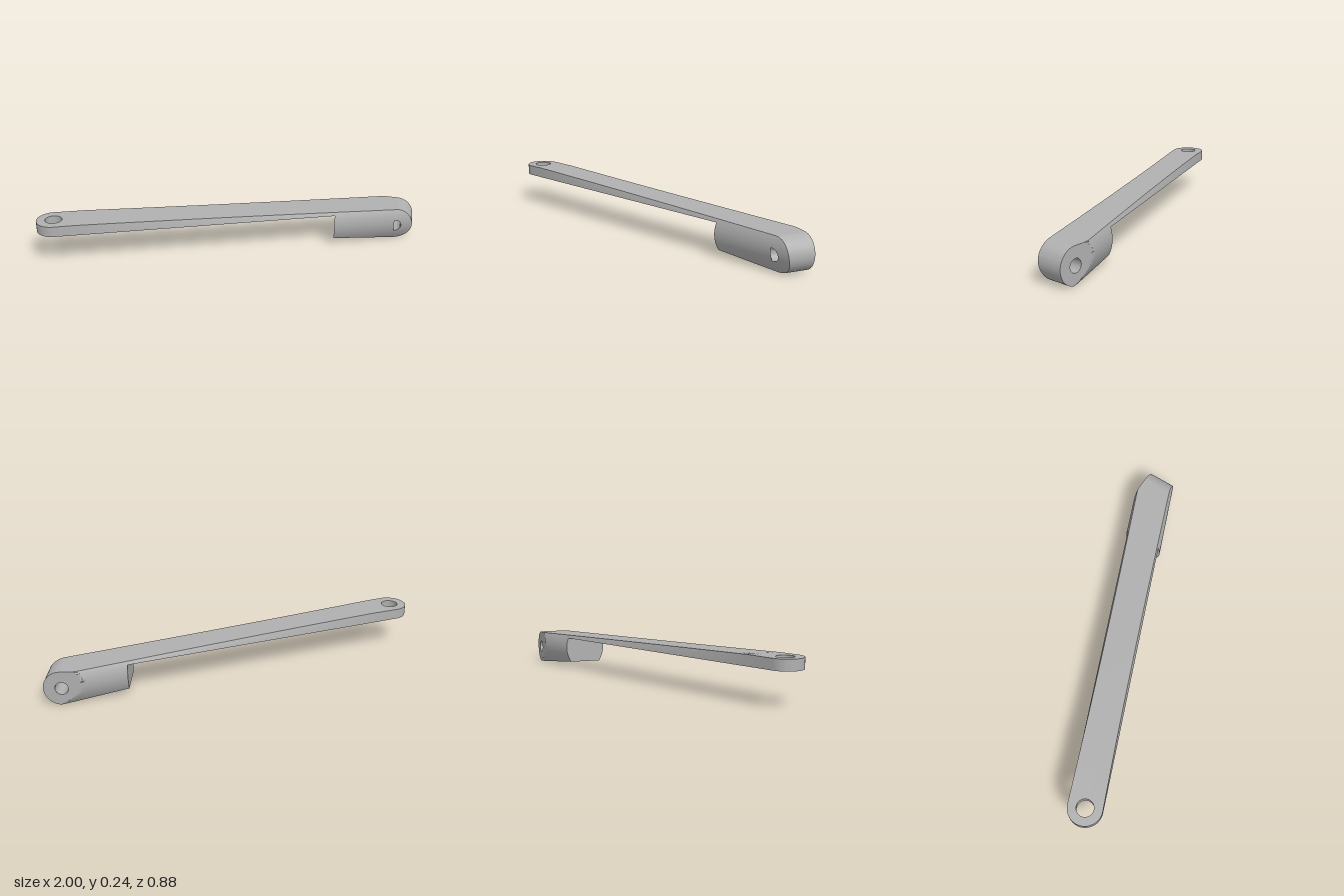
import * as THREE from 'three';
import { toCreasedNormals } from 'three/addons/utils/BufferGeometryUtils.js';

const C = 0.93, S = 0.368;            // arm heading in plan
const EYE = { x: -0.907, z: 0.347, r: 0.093, hole: 0.046 };
const HUB = { x: 0.904, y: 0.096, r: 0.096, hole: 0.035 };
const BOSS_X = 0.57, BACK_Z = -0.44, UNDERSIDE = 0.183;
const lerp = THREE.MathUtils.lerp;

// Height of the gently falling top surface
const topY = (x) => 0.241 - 0.0291 * Math.max(0, Math.min(x, HUB.x) + 0.78);
// Half width across the arm: straight sides at the eye, barrel sides at the boss
const halfWidth = (t, y) => lerp(EYE.r, 0.1075 - 3 * (y - 0.125) ** 2, t);

// Closed skin through a cycle of rings that all have the same number of points
function ringSkin(rings) {
  const n = rings[0].length, m = rings.length, index = [];
  for (let i = 0; i < m; i++) {
    for (let j = 0; j < n; j++) {
      const k = (j + 1) % n, p = i * n, q = ((i + 1) % m) * n;
      index.push(p + j, q + j, p + k, q + j, q + k, p + k);
    }
  }
  const geo = new THREE.BufferGeometry();
  geo.setAttribute('position', new THREE.Float32BufferAttribute(rings.flat(2), 3));
  geo.setIndex(index);
  return toCreasedNormals(geo, 0.5);
}

// Points from a towards b, leaving out b
function span(a, b, steps) {
  return Array.from({ length: steps }, (_, i) => a.map((v, k) => lerp(v, b[k], i / steps)));
}

// Long flat arm with a vertical hole through its rounded end
function armGeometry() {
  const endU = (v) => (0.575 - EYE.x - v * S) / C;
  const r = EYE.r, H = Math.PI / 2, A = 0.35;
  // each entry: u along, v across, angle of the matching point on the hole
  const outline = [...span([endU(-r), -r, A], [0, -r, H], 28)];
  for (let i = 0; i < 28; i++) {
    const a = H + (Math.PI * i) / 28;
    outline.push([r * Math.cos(a), -r * Math.sin(a), a]);
  }
  outline.push(...span([0, r, 3 * H], [endU(r), r, 4 * H - A], 28));
  outline.push(...span([endU(r), r, 4 * H - A], [endU(-r), -r, 4 * H + A], 8));

  // s runs from hole to rim, f from underside to top
  const ring = (s, f) => outline.map(([u, v, a]) => {
    const pu = lerp(EYE.hole * Math.cos(a), u, s);
    const pv = lerp(-EYE.hole * Math.sin(a), v, s);
    const t = THREE.MathUtils.clamp(pu / endU(0), 0, 1);
    const y = lerp(UNDERSIDE, topY(EYE.x + pu * C + pv * S), f);
    const w = (pv * halfWidth(t, y)) / r;
    return [EYE.x + pu * C + w * S, y, EYE.z - pu * S + w * C];
  });
  const rings = [ring(0, 0)];
  for (let i = 0; i <= 12; i++) rings.push(ring(i / 12, 1));
  for (let i = 3; i >= 0; i--) rings.push(ring(1, i / 4));
  for (let i = 11; i > 0; i--) rings.push(ring(i / 12, 0));
  return ringSkin(rings);
}

// Deep barrel-sided boss ending in a round hub with a cross hole
function bossGeometry() {
  const outline = [];
  for (let i = 0; i < 32; i++) {
    const a = -Math.PI / 2 + (Math.PI * i) / 32;
    outline.push([HUB.x + HUB.r * Math.cos(a), HUB.y + HUB.r * Math.sin(a)]);
  }
  const topRight = [HUB.x, HUB.y + HUB.r], topLeft = [BOSS_X, topY(BOSS_X)];
  const lowLeft = [BOSS_X, 0.036], lowRight = [HUB.x, 0];
  outline.push(...span(topRight, topLeft, 20), ...span(topLeft, lowLeft, 14), ...span(lowLeft, lowRight, 20));

  const middle = (x) => EYE.z - ((x - EYE.x) * S) / C;
  const frontZ = (x, y) => middle(x) + halfWidth(1, y) / C;
  const backZ = (x, y) => Math.max(BACK_Z, middle(x) - halfWidth(1, y) / C);

  // minX closes the left half of the hole on the front side
  const ring = (s, depth, minX = -1) => outline.map(([x, y]) => {
    const a = Math.atan2(y - HUB.y, x - HUB.x);
    const hx = Math.max(minX, HUB.x + HUB.hole * Math.cos(a));
    const px = lerp(hx, x, s), py = lerp(HUB.y + HUB.hole * Math.sin(a), y, s);
    return [px, py, depth(px, py)];
  });
  const rings = [ring(0, backZ), ring(0, frontZ)];
  for (let i = 0; i <= 16; i++) rings.push(ring(i / 16, frontZ, HUB.x - 0.004));
  for (let i = 16; i > 0; i--) rings.push(ring(i / 16, backZ));
  return ringSkin(rings);
}

export function createModel() {
  const group = new THREE.Group();
  group.name = 'leverArm';
  const grey = new THREE.MeshStandardMaterial({ color: 0xb0b0b0 });
  grey.name = 'plain grey';

  const arm = new THREE.Mesh(armGeometry(), grey);
  arm.name = 'arm';
  const boss = new THREE.Mesh(bossGeometry(), grey);
  boss.name = 'hingeBoss';
  group.add(arm, boss);
  return group;
}
